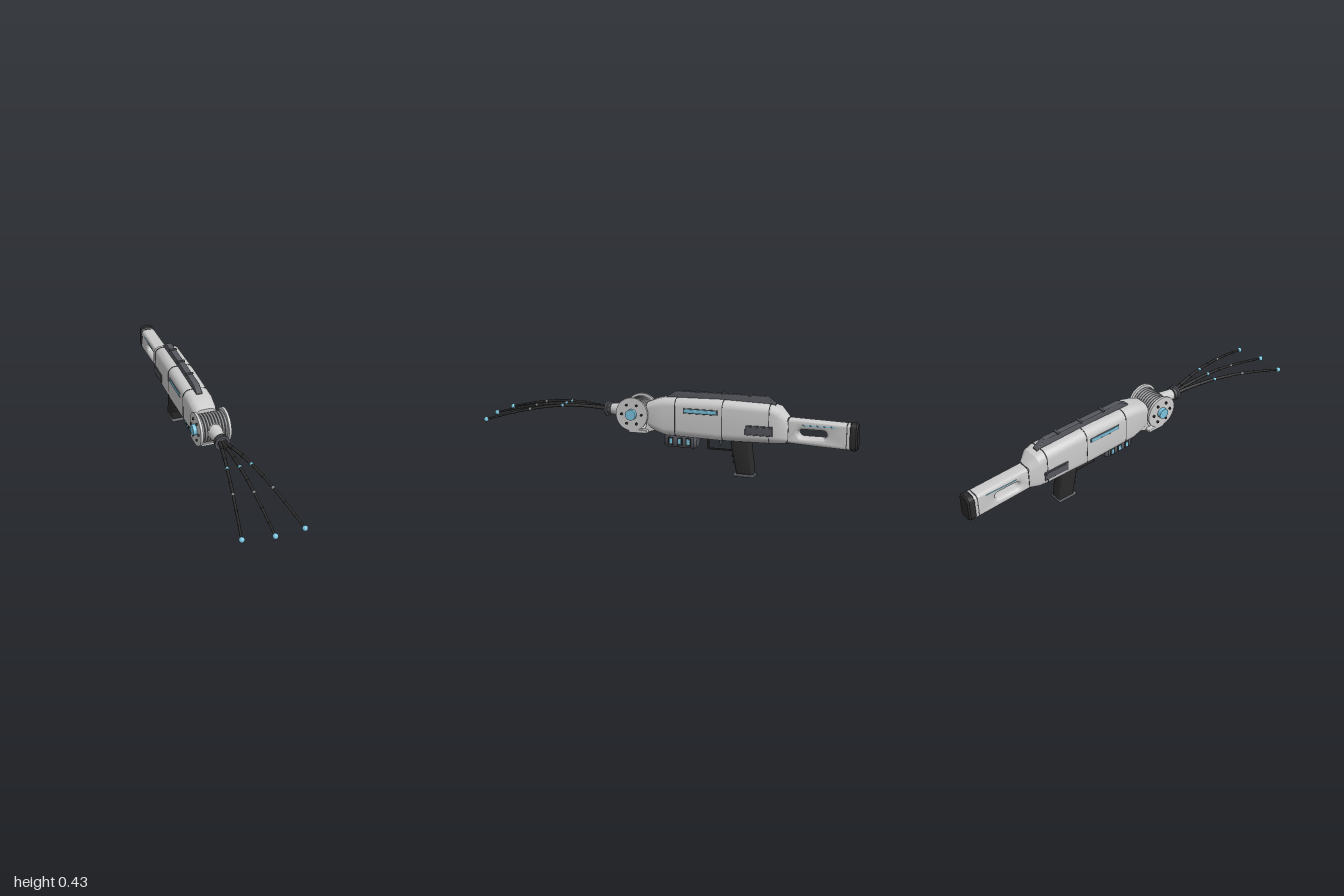
import * as THREE from 'three';
import { toCreasedNormals } from 'three/addons/utils/BufferGeometryUtils.js';
import { RoundedBoxGeometry } from 'three/addons/geometries/RoundedBoxGeometry.js';

const mat = (color) => new THREE.MeshStandardMaterial({ color });
const shell = mat(0xcccccc), steel = mat(0x55575d), rubber = mat(0x2b2b2c), glow = mat(0x7cc4de), wire = mat(0x8c8d90);

// Closed loft through rounded rectangles; stations are [z, halfWidth, yMin, yMax, cornerRadius]
function loft(stations, steps = 6) {
  const pos = [], idx = [], n = 4 * (steps + 1);
  for (const [z, w, y0, y1, r] of stations) {
    const cy = (y0 + y1) / 2, h = (y1 - y0) / 2;
    for (let c = 0; c < 4; c++) {
      const sx = c === 0 || c === 3 ? 1 : -1, sy = c < 2 ? 1 : -1;
      for (let i = 0; i <= steps; i++) {
        const a = (c + i / steps) * Math.PI / 2;
        pos.push(sx * (w - r) + r * Math.cos(a), cy + sy * (h - r) + r * Math.sin(a), z);
      }
    }
  }
  const last = stations.length - 1, mid = pos.length / 3;
  for (const s of [stations[0], stations[last]]) pos.push(0, (s[2] + s[3]) / 2, s[0]);
  for (let j = 0; j < n; j++) {
    const k = (j + 1) % n;
    for (let i = 0; i < last; i++) {
      const a = i * n + j, b = i * n + k, c = a + n, d = b + n;
      idx.push(a, c, b, b, c, d);
    }
    idx.push(mid, j, k, mid + 1, last * n + k, last * n + j);
  }
  const g = new THREE.BufferGeometry();
  g.setAttribute('position', new THREE.Float32BufferAttribute(pos, 3));
  g.setIndex(idx);
  return toCreasedNormals(g, 0.5);
}

// Side profile of [z, y] points extruded across x, with a rounded edge and optional hole
function sideExtrude(points, width, bevel, hole) {
  const shape = new THREE.Shape(points.map(([z, y]) => new THREE.Vector2(z, y)));
  if (hole) shape.holes.push(hole);
  const g = new THREE.ExtrudeGeometry(shape, {
    depth: width - 2 * bevel, bevelEnabled: bevel > 0, bevelThickness: bevel,
    bevelSize: bevel, bevelOffset: -bevel, bevelSegments: 3, curveSegments: 12,
  });
  g.translate(0, 0, -(width - 2 * bevel) / 2).rotateY(-Math.PI / 2);
  return toCreasedNormals(g, 0.6);
}

export function createModel() {
  const model = new THREE.Group();
  const add = (name, geo, material, x = 0, y = 0, z = 0) => {
    const m = new THREE.Mesh(geo, material);
    m.name = name;
    m.position.set(x, y, z);
    model.add(m);
    return m;
  };
  const box = (name, w, h, d, material, x, y, z, r = 0.003) =>
    add(name, new RoundedBoxGeometry(w, h, d, 2, r), material, x, y, z);
  const disc = (r0, r1, len, axis, seg = 32) => {
    const g = new THREE.CylinderGeometry(r1, r0, len, seg);
    return axis === 'x' ? g.rotateZ(-Math.PI / 2) : g.rotateX(Math.PI / 2);
  };

  // Main housing
  add('housing', loft([
    [0.08, 0.056, 0.225, 0.355, 0.036], [0.045, 0.064, 0.21, 0.37, 0.038], [-0.02, 0.069, 0.19, 0.386, 0.04],
    [-0.3, 0.07, 0.183, 0.391, 0.04], [-0.57, 0.07, 0.188, 0.384, 0.04], [-0.615, 0.067, 0.19, 0.37, 0.04],
    [-0.66, 0.042, 0.192, 0.322, 0.03],
  ]), shell);
  for (const [z, y0, y1] of [[-0.08, 0.187, 0.3885], [-0.33, 0.182, 0.392], [-0.57, 0.187, 0.386]]) {
    add('housingSeam', loft([[z + 0.002, 0.0712, y0, y1, 0.04], [z - 0.002, 0.0712, y0, y1, 0.04]]), steel);
  }
  for (const s of [1, -1]) {
    box('lightFrame', 0.006, 0.027, 0.182, steel, s * 0.069, 0.33, -0.217);
    box('sideLight', 0.008, 0.019, 0.172, glow, s * 0.07, 0.33, -0.217);
    box('sidePort', 0.012, 0.05, 0.14, steel, s * 0.068, 0.254, -0.52);
    box('portCover', 0.004, 0.036, 0.124, steel, s * 0.074, 0.254, -0.52, 0.0015);
  }

  // Top rail with cross bars
  add('topRail', sideExtrude([[-0.02, 0.375], [-0.02, 0.39], [-0.07, 0.42], [-0.54, 0.42], [-0.59, 0.385], [-0.59, 0.37]], 0.033, 0.003), steel);
  for (const z of [-0.18, -0.32, -0.46]) box('railBar', 0.042, 0.01, 0.014, steel, 0, 0.421, z);

  // Stock with through slot, light lines and butt pad
  const slot = new THREE.Path();
  slot.absarc(-0.83, 0.249, 0.02, Math.PI / 2, Math.PI * 1.5);
  slot.absarc(-0.73, 0.249, 0.02, -Math.PI / 2, Math.PI / 2);
  slot.closePath();
  add('stock', sideExtrude([[-0.64, 0.196], [-0.64, 0.319], [-0.7, 0.317], [-0.97, 0.309], [-0.97, 0.182], [-0.8, 0.188]], 0.076, 0.016, slot), shell);
  add('stockCollar', loft([[-0.65, 0.041, 0.19, 0.322, 0.02], [-0.662, 0.041, 0.19, 0.322, 0.02]]), steel);
  add('stockBand', loft([[-0.945, 0.0385, 0.181, 0.312, 0.016], [-0.95, 0.0385, 0.181, 0.312, 0.016]]), steel);
  add('buttPad', loft([
    [-0.962, 0.036, 0.182, 0.311, 0.022], [-0.967, 0.039, 0.178, 0.315, 0.024],
    [-0.992, 0.039, 0.178, 0.315, 0.024], [-1, 0.033, 0.185, 0.308, 0.02],
  ]), rubber);
  for (const s of [1, -1]) box('stockLight', 0.003, 0.005, 0.17, glow, s * 0.038, 0.291, -0.815, 0.001);

  // Grip, base plate and finger ridges
  add('grip', sideExtrude([[-0.36, 0.2], [-0.463, 0.2], [-0.486, 0.012], [-0.398, 0.012]], 0.068, 0.012), rubber);
  box('gripBase', 0.073, 0.016, 0.108, steel, 0, 0.008, -0.436, 0.006);
  for (const y of [0.135, 0.105, 0.075]) box('fingerRidge', 0.052, 0.011, 0.016, rubber, 0, y, -0.36 - (0.2 - y) * 0.2, 0.004);

  // Trigger and guard
  box('guardFront', 0.016, 0.065, 0.007, rubber, 0, 0.158, -0.241);
  box('guardBottom', 0.016, 0.007, 0.135, rubber, 0, 0.129, -0.305);
  add('trigger', sideExtrude([[-0.298, 0.195], [-0.318, 0.195], [-0.314, 0.165], [-0.304, 0.146], [-0.297, 0.15], [-0.302, 0.168]], 0.012, 0.001), steel);

  // Power cell under the front of the housing
  add('powerCell', loft([
    [-0.008, 0.026, 0.136, 0.188, 0.018], [-0.022, 0.037, 0.125, 0.197, 0.024],
    [-0.172, 0.037, 0.125, 0.197, 0.024], [-0.186, 0.026, 0.136, 0.188, 0.018],
  ]), steel);
  for (const s of [1, -1]) for (const z of [-0.05, -0.097, -0.144]) {
    box('cellFrame', 0.006, 0.042, 0.03, rubber, s * 0.037, 0.161, z);
    box('cellWindow', 0.006, 0.03, 0.017, glow, s * 0.039, 0.161, z);
  }

  // Cable spool lying across the front
  const sy = 0.294, sz = 0.15;
  add('drum', disc(0.064, 0.064, 0.14, 'x'), steel, 0, sy, sz);
  for (let i = 0; i < 9; i++) {
    const coil = new THREE.TorusGeometry(0.069, 0.0062, 8, 40).rotateY(Math.PI / 2);
    add('coil', coil, wire, (i - 4) * 0.0152, sy, sz);
  }
  for (const s of [1, -1]) {
    add('flange', disc(0.087, 0.087, 0.013, 'x', 40), shell, s * 0.0745, sy, sz);
    add('hub', disc(0.028, 0.028, 0.03, 'x'), glow, s * 0.086, sy, sz);
    for (let k = 0; k < 6; k++) {
      const a = k * Math.PI / 3;
      add('bolt', disc(0.007, 0.007, 0.014, 'x', 10), rubber, s * 0.081, sy + 0.055 * Math.sin(a), sz + 0.055 * Math.cos(a));
    }
  }
  add('spoolBracket', sideExtrude([[0.175, 0.2], [0.175, 0.212], [0.085, 0.222], [0.07, 0.28], [0.03, 0.28], [0.03, 0.215], [0.07, 0.2]], 0.11, 0.003), shell);
  box('spoolCradle', 0.162, 0.018, 0.1, shell, 0, 0.207, 0.118, 0.004);

  // Nozzle and collar
  const ny = 0.301;
  add('nozzle', disc(0.041, 0.026, 0.1, 'z'), shell, 0, ny, 0.25);
  const collar = new THREE.LatheGeometry([[0, -0.016], [0.036, -0.016], [0.036, -0.006], [0.031, -0.003], [0.031, 0.003], [0.039, 0.006], [0.039, 0.016], [0.026, 0.016], [0.022, 0.008], [0, 0.008]]
    .map(([r, y]) => new THREE.Vector2(r, y)), 28).rotateX(Math.PI / 2);
  add('collar', toCreasedNormals(collar, 0.5), steel, 0, ny, 0.306);

  // Three tapering tentacles with bands and glowing tips
  const segs = 48, sides = 10;
  for (const [tx, ty, tz] of [[-0.151, 0.242, 0.965], [0, 0.234, 0.982], [0.15, 0.225, 0.965]]) {
    const side = Math.sign(tx), at = (t, y) => new THREE.Vector3(side * 0.008 + (tx - side * 0.008) * t, y, 0.3 + (tz - 0.3) * t);
    const drop = ty - 0.234;
    const curve = new THREE.CatmullRomCurve3([at(0, 0.3), at(0.15, 0.311), at(0.32, 0.315), at(0.55, 0.302 + drop * 0.3), at(0.78, 0.272 + drop * 0.6), at(1, ty)]);
    const radius = (t) => 0.0095 - 0.004 * t;
    const tube = new THREE.TubeGeometry(curve, segs, 1, sides);
    const p = tube.attributes.position, v = new THREE.Vector3();
    for (let i = 0; i < p.count; i++) {
      const t = Math.floor(i / (sides + 1)) / segs, c = curve.getPointAt(t);
      v.fromBufferAttribute(p, i).sub(c).multiplyScalar(radius(t)).add(c);
      p.setXYZ(i, v.x, v.y, v.z);
    }
    add('tentacle', tube, rubber);
    for (const [t, material] of [[0.12, rubber], [0.25, rubber], [0.37, glow], [0.5, rubber], [0.63, wire], [0.76, rubber], [0.88, rubber]]) {
      const c = curve.getPointAt(t), r = radius(t) + 0.0015;
      const band = add('tentacleBand', disc(r, r, 0.012, 'z', 12), material, c.x, c.y, c.z);
      band.quaternion.setFromUnitVectors(new THREE.Vector3(0, 0, 1), curve.getTangentAt(t));
    }
    add('tentacleTip', new THREE.SphereGeometry(0.0135, 20, 14), glow, tx, ty, tz);
  }
  return model;
}
